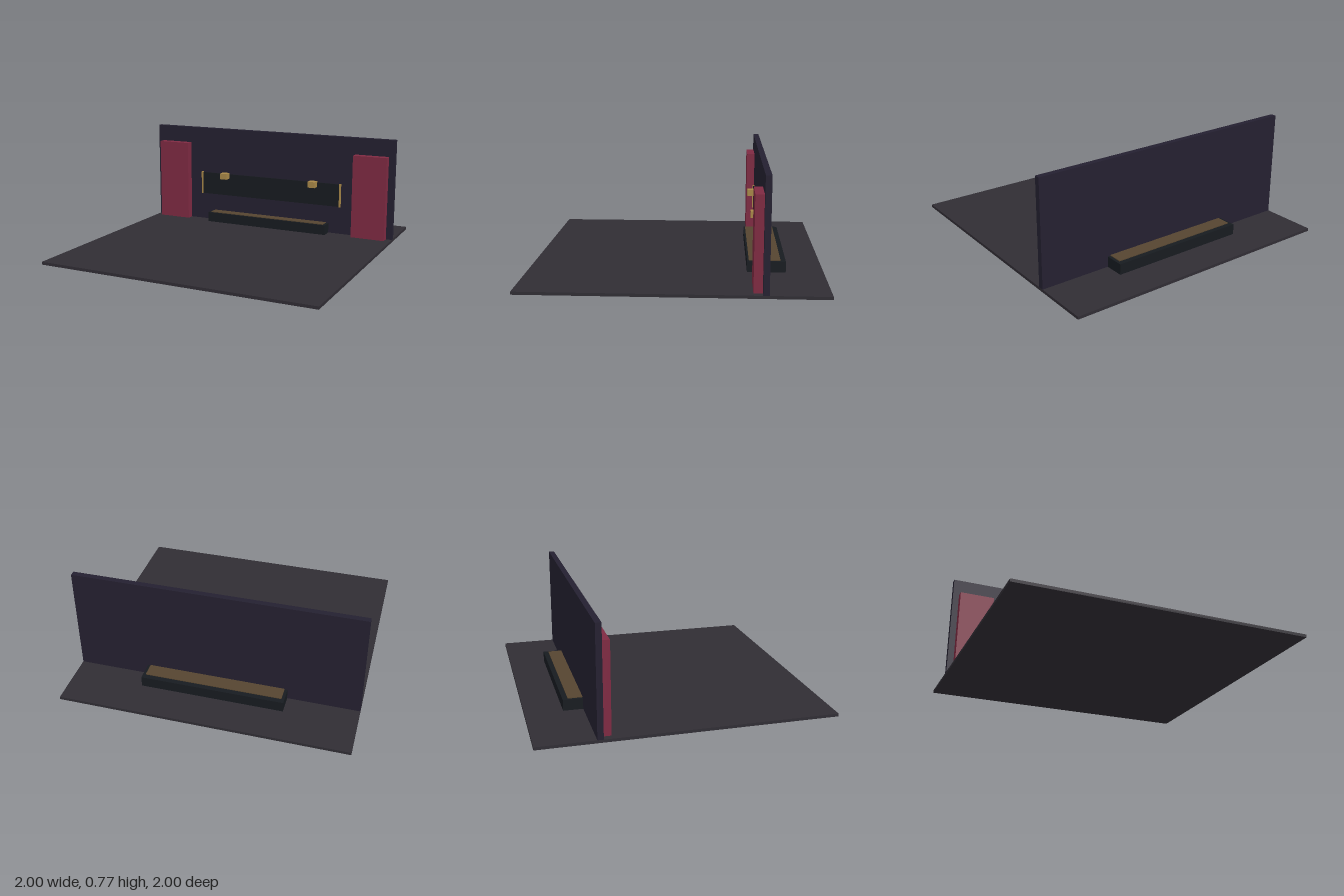
import * as THREE from 'three';

const material = (color) => new THREE.MeshStandardMaterial({ color });

export function createModel() {
  const model = new THREE.Group();
  const dark = material(0x302d34);
  const wallPaint = material(0x242030);
  const black = material(0x171b20);
  const wood = material(0x564530);
  const red = material(0x7f2a42);
  const gold = material(0xa88848);

  // Adds a box spanning the given [min, max] ranges
  function box(name, mat, [x0, x1], [y0, y1], [z0, z1]) {
    const mesh = new THREE.Mesh(new THREE.BoxGeometry(x1 - x0, y1 - y0, z1 - z0), mat);
    mesh.position.set((x0 + x1) / 2, (y0 + y1) / 2, (z0 + z1) / 2);
    mesh.name = name;
    model.add(mesh);
  }

  // Adds a mirrored pair from the range on the +x side
  function pair(name, mat, [x0, x1], y, z) {
    box(name + 'Left', mat, [x0, x1], y, z);
    box(name + 'Right', mat, [-x1, -x0], y, z);
  }

  // Floor and upright backdrop
  box('floor', dark, [-1, 1], [0, 0.02], [-1, 1]);
  box('backWall', wallPaint, [-1, 1], [0.02, 0.77], [-0.61, -0.57]);

  // Low platform passing through the wall, with a wooden top
  box('platform', black, [-0.5, 0.5], [0.02, 0.095], [-0.745, -0.485]);
  box('platformTop', wood, [-0.48, 0.48], [0.09, 0.1], [-0.71, -0.497]);

  // Wall panel with gold end strips
  box('wallPanel', black, [-0.59, 0.59], [0.233, 0.407], [-0.572, -0.56]);
  pair('panelTrim', gold, [0.584, 0.595], [0.23, 0.412], [-0.572, -0.553]);

  // Curtains and wall lamps
  pair('curtain', red, [0.698, 0.955], [0.02, 0.645], [-0.572, -0.512]);
  pair('lamp', gold, [0.346, 0.404], [0.372, 0.418], [-0.565, -0.507]);

  return model;
}
